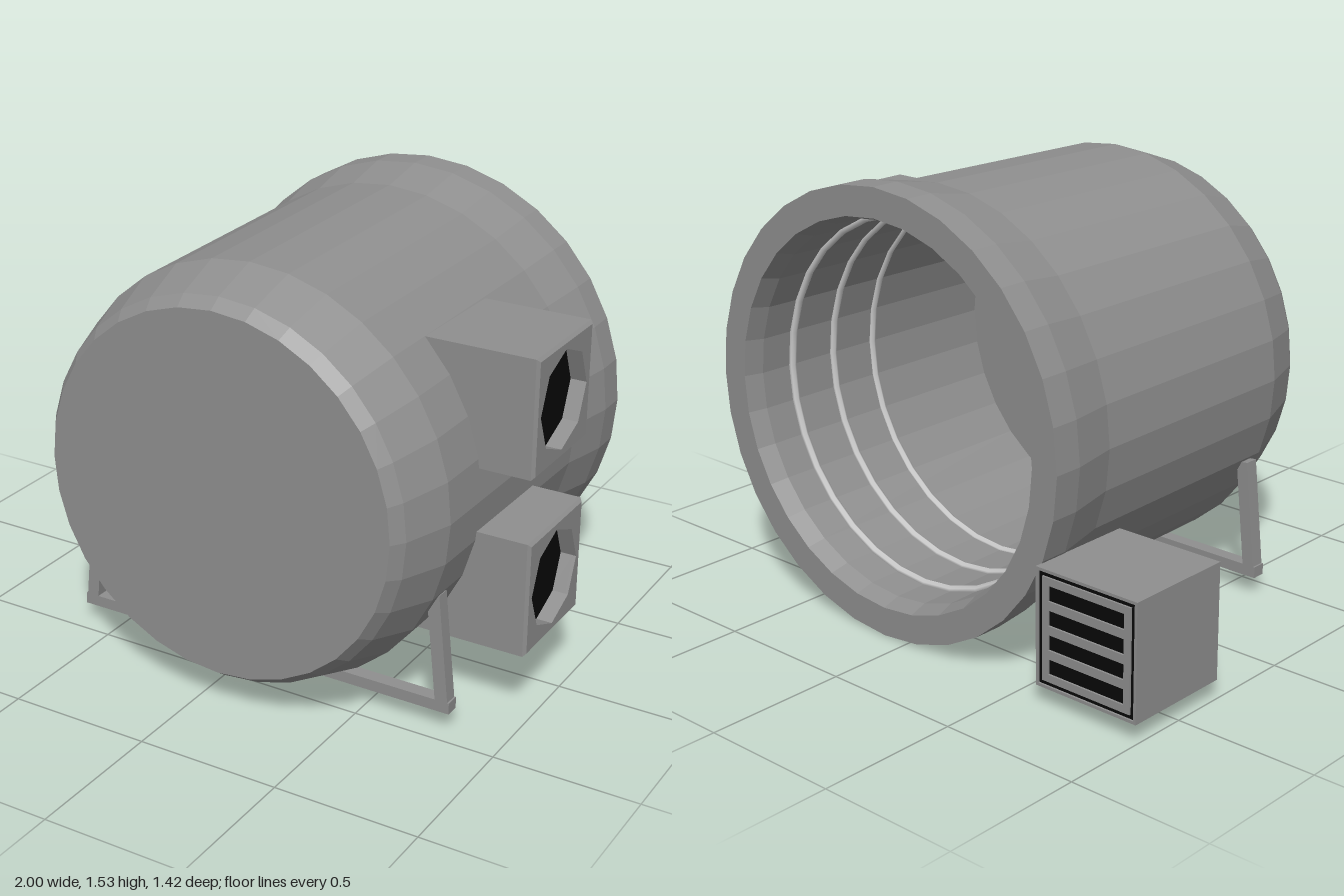
import * as THREE from 'three';

const CX = 0.102, CY = 0.77; // axis of the drum

export function createModel() {
  const model = new THREE.Group();
  const grey = new THREE.MeshStandardMaterial({ color: 0x8f8f8f, flatShading: true });
  const light = new THREE.MeshStandardMaterial({ color: 0xcccccc });
  const black = new THREE.MeshStandardMaterial({ color: 0x080808 });

  const add = (parent, name, geometry, material = grey, x = 0, y = 0, z = 0) => {
    const mesh = new THREE.Mesh(geometry, material);
    mesh.name = name;
    mesh.position.set(x, y, z);
    parent.add(mesh);
    return mesh;
  };
  const rect = (w, h, Kind = THREE.Shape, y = 0) => new Kind([
    new THREE.Vector2(-w / 2, y - h / 2), new THREE.Vector2(w / 2, y - h / 2),
    new THREE.Vector2(w / 2, y + h / 2), new THREE.Vector2(-w / 2, y + h / 2)]);

  // Drum: closed at the front, hollow from the back (radius, z)
  const profile = [
    [0, 0.42], [0.63, 0.42], [0.645, -0.62], [0.665, -0.685], [0.766, -0.685],
    [0.766, -0.58], [0.732, -0.4], [0.719, 0.49], [0.66, 0.665], [0.628, 0.71], [0, 0.71],
  ].map(([r, z]) => new THREE.Vector2(r, z));
  add(model, 'drum', new THREE.LatheGeometry(profile, 32), grey, CX, CY).rotation.x = Math.PI / 2;

  // Thin pale ridges around the inside wall
  for (let i = 0; i < 3; i++) {
    add(model, 'innerRing', new THREE.TorusGeometry(0.64, 0.014, 6, 32), light, CX, CY, -0.49 + i * 0.19);
  }

  // Fan housings on the left side, their inner ends fitted to the drum
  for (const y of [0.46, 1.08]) {
    const fan = new THREE.Group();
    fan.name = 'fanHousing';
    const outline = [new THREE.Vector2(0.94, y - 0.2), new THREE.Vector2(0.94, y + 0.2)];
    for (let i = 0; i <= 8; i++) {
      const py = y + 0.2 - i * 0.05;
      outline.push(new THREE.Vector2(CX + Math.sqrt(0.695 ** 2 - (py - CY) ** 2), py));
    }
    add(fan, 'fanBody', new THREE.ExtrudeGeometry(new THREE.Shape(outline), { depth: 0.4, bevelEnabled: false }),
      grey, 0, 0, -0.108);

    const face = rect(0.4, 0.4);
    face.holes.push(new THREE.Path(Array.from({ length: 8 }, (_, i) => {
      const a = i * Math.PI / 4;
      return new THREE.Vector2(0.17 * Math.cos(a), 0.17 * Math.sin(a));
    })));
    const plate = new THREE.ExtrudeGeometry(face, { depth: 0.06, steps: 2, bevelEnabled: false });
    // Chamfer the outer edge only: raise the middle loop, draw in the last one
    const p = plate.attributes.position;
    for (let i = 0; i < p.count; i++) {
      const z = p.getZ(i);
      if (z > 0.02 && z < 0.04) p.setZ(i, 0.05);
      if (z > 0.05 && Math.abs(p.getX(i)) > 0.19) p.setXY(i, p.getX(i) * 0.95, p.getY(i) * 0.95);
    }
    add(fan, 'fanFace', plate, grey, 0.94, y, 0.092).rotation.y = Math.PI / 2;
    add(fan, 'fanOpening', new THREE.CircleGeometry(0.17, 8), black, 0.945, y, 0.092).rotation.y = Math.PI / 2;
    model.add(fan);
  }

  // Vent box behind on the right, grille facing back
  const vent = new THREE.Group();
  vent.name = 'ventBox';
  vent.position.set(-0.8, 0.27, -0.51);
  add(vent, 'ventBody', new THREE.BoxGeometry(0.4, 0.4, 0.38), grey, 0, 0, 0.01);
  const rim = rect(0.4, 0.4);
  rim.holes.push(rect(0.38, 0.38, THREE.Path));
  add(vent, 'ventRim', new THREE.ExtrudeGeometry(rim, { depth: 0.02, bevelEnabled: false }), grey, 0, 0, -0.2);
  add(vent, 'ventDark', new THREE.BoxGeometry(0.38, 0.38, 0.01), black, 0, 0, -0.188);
  const grille = rect(0.35, 0.35);
  for (let i = 0; i < 4; i++) grille.holes.push(rect(0.3, 0.052, THREE.Path, -0.123 + i * 0.082));
  add(vent, 'ventGrille', new THREE.ExtrudeGeometry(grille, { depth: 0.008, bevelEnabled: false }), grey, 0, 0, -0.2);
  model.add(vent);

  // Feet: a floor bar and a strut each, mirrored about the drum axis
  const bar = (parent, name, x1, y1, x2, y2, w) => {
    const mesh = add(parent, name, new THREE.BoxGeometry(Math.hypot(x2 - x1, y2 - y1), w, 0.05),
      grey, (x1 + x2) / 2, (y1 + y2) / 2);
    mesh.rotation.z = Math.atan2(y2 - y1, x2 - x1);
  };
  for (const side of [-1, 1]) {
    for (const [name, z, strut] of [['frontLeg', 0.42, [0.695, 0.073, 0.652, 0.485]], ['backLeg', -0.19, [0.695, 0.095, 0.515, 0.28]]]) {
      const leg = new THREE.Group();
      leg.name = name;
      leg.position.set(CX - 0.01, 0, z);
      bar(leg, 'floorBar', side * 0.72, 0.09, side * 0.22, 0.09, 0.04);
      bar(leg, 'strut', side * strut[0], strut[1], side * strut[2], strut[3], 0.045);
      model.add(leg);
    }
  }
  return model;
}
